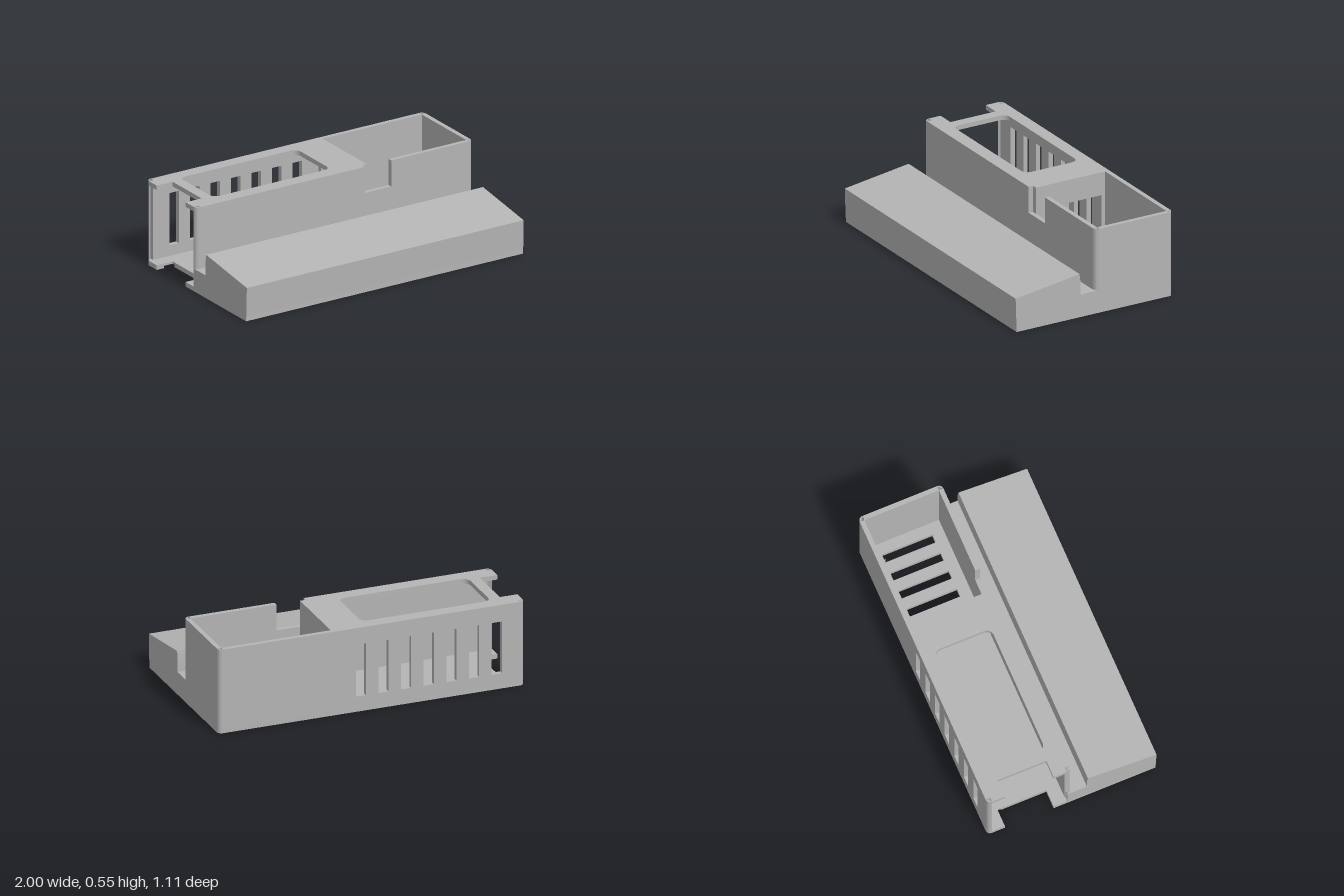
import * as THREE from 'three';
import { toCreasedNormals } from 'three/addons/utils/BufferGeometryUtils.js';

const H = 0.55, T = 0.03, FLOOR = 0.03;
const BACK = -0.555, FRONT = -0.005; // outer z of the housing

export function createModel() {
  const group = new THREE.Group();
  const grey = new THREE.MeshStandardMaterial({ color: 0xb4b4b4 });
  grey.name = 'grey plastic';

  const add = (name, geometry, x = 0, y = 0, z = 0) => {
    const mesh = new THREE.Mesh(toCreasedNormals(geometry, 0.5), grey);
    mesh.name = name;
    mesh.position.set(x, y, z);
    group.add(mesh);
  };
  const poly = (pts) => new THREE.Shape(pts.map(([x, y]) => new THREE.Vector2(x, y)));
  const rect = (x0, x1, y0, y1) => poly([[x0, y0], [x1, y0], [x1, y1], [x0, y1]]);
  const circle = (x, y, r) => new THREE.Path().absarc(x, y, r, 0, Math.PI * 2, true);
  const extrude = (shape, depth) =>
    new THREE.ExtrudeGeometry(shape, { depth, bevelEnabled: false, curveSegments: 16 });
  // plan shapes use (x, -z) and rise along y; side shapes use (-z, y) and run along x
  const plan = (shape, depth) => extrude(shape, depth).rotateX(-Math.PI / 2);
  const side = (shape, depth) => extrude(shape, depth).rotateY(Math.PI / 2);

  // Floor: rounded rear corners, cable notch on the open end, vent slots
  const floorShape = (withFoot) => {
    const s = new THREE.Shape();
    s.moveTo(-1, -0.55);
    s.lineTo(1, -0.55);
    s.lineTo(1, 0.525);
    s.absarc(0.97, 0.525, T, 0, Math.PI / 2, false);
    s.lineTo(-0.97, 0.555);
    s.absarc(-0.97, 0.525, T, Math.PI / 2, Math.PI, false);
    s.lineTo(-1, 0.44);
    if (withFoot) {
      // foot recess that breaks into the notch
      const a0 = Math.atan2(0.44 - 0.47, -0.046), a1 = Math.atan2(0.417 - 0.47, 0.015);
      s.absarc(-0.9, 0.47, 0.055, a0, a1, true);
    } else {
      s.lineTo(-0.885, 0.44);
    }
    s.lineTo(-0.885, 0.12);
    s.lineTo(-1, 0.12);
    for (let i = 0; i < 5; i++) {
      const x = 0.34 + i * 0.126;
      s.holes.push(rect(x, x + 0.055, 0.11, 0.44));
    }
    return s;
  };
  const underside = floorShape(true);
  underside.holes.push(
    circle(0.91, 0.47, 0.055), circle(0.91, -0.465, 0.055), circle(-0.91, -0.465, 0.055), // feet
    circle(0.745, -0.165, 0.034), circle(-0.9, -0.165, 0.034)); // screw holes
  add('floorUnderside', plan(underside, FLOOR / 2));
  add('floor', plan(floorShape(false), FLOOR / 2), 0, FLOOR / 2);

  // Sloped front block with a groove in front of the housing
  add('slopedFront', side(poly([
    [-0.551, FLOOR], [0.03, FLOOR], [0.03, 0.148], [-0.1, 0.148],
    [-0.1, 0.24], [-0.106, 0.284], [-0.557, 0.22],
  ]), 2), -1);

  // Back wall with seven tall vents
  const back = rect(-0.97, 0.97, FLOOR, H);
  for (let i = 0; i < 7; i++) {
    const x = 0.07 - i * 0.148;
    back.holes.push(rect(x - 0.033, x + 0.033, 0.1, 0.44));
  }
  add('backWall', extrude(back, T), 0, 0, BACK);

  // Front wall with a notch in its top edge
  add('frontWall', extrude(poly([
    [-0.97, FLOOR], [0.97, FLOOR], [0.97, H], [0.41, H],
    [0.41, 0.38], [0.22, 0.38], [0.22, H], [-0.97, H],
  ]), T), 0, 0, FRONT - T);

  // Closed end wall
  add('endWall', side(rect(0.035, 0.525, FLOOR, H), T), 0.97);

  // Rounded vertical corners
  [[0.97, 0.525, 0], [-0.97, 0.525, 1], [-0.97, 0.035, 2], [0.97, 0.035, 3]].forEach(([x, y, q]) => {
    const s = new THREE.Shape();
    s.moveTo(0, 0);
    s.absarc(0, 0, T, q * Math.PI / 2, (q + 1) * Math.PI / 2, false);
    add('roundedCorner', plan(s, H - FLOOR), x, FLOOR, -y);
  });

  // Divider between the covered bay and the open bay, with a cable opening
  const divider = rect(0.035, 0.525, FLOOR, H - T);
  divider.holes.push(rect(0.27, 0.5, 0.1, 0.4));
  add('divider', side(divider, T), 0.225);

  // Top plate with a rounded window and an end notch
  const top = poly([
    [-1, 0.035], [0.255, 0.035], [0.255, 0.525], [-1, 0.525],
    [-1, 0.44], [-0.885, 0.44], [-0.885, 0.12], [-1, 0.12],
  ]);
  const [x0, x1, y0, y1, r] = [-0.815, 0.03, 0.095, 0.47, 0.045];
  const win = new THREE.Path();
  win.absarc(x1 - r, y1 - r, r, 0, Math.PI / 2, false);
  win.absarc(x0 + r, y1 - r, r, Math.PI / 2, Math.PI, false);
  win.absarc(x0 + r, y0 + r, r, Math.PI, Math.PI * 1.5, false);
  win.absarc(x1 - r, y0 + r, r, Math.PI * 1.5, Math.PI * 2, false);
  win.closePath();
  top.holes.push(win);
  add('topPlate', plan(top, T), 0, H - T);

  return group;
}
